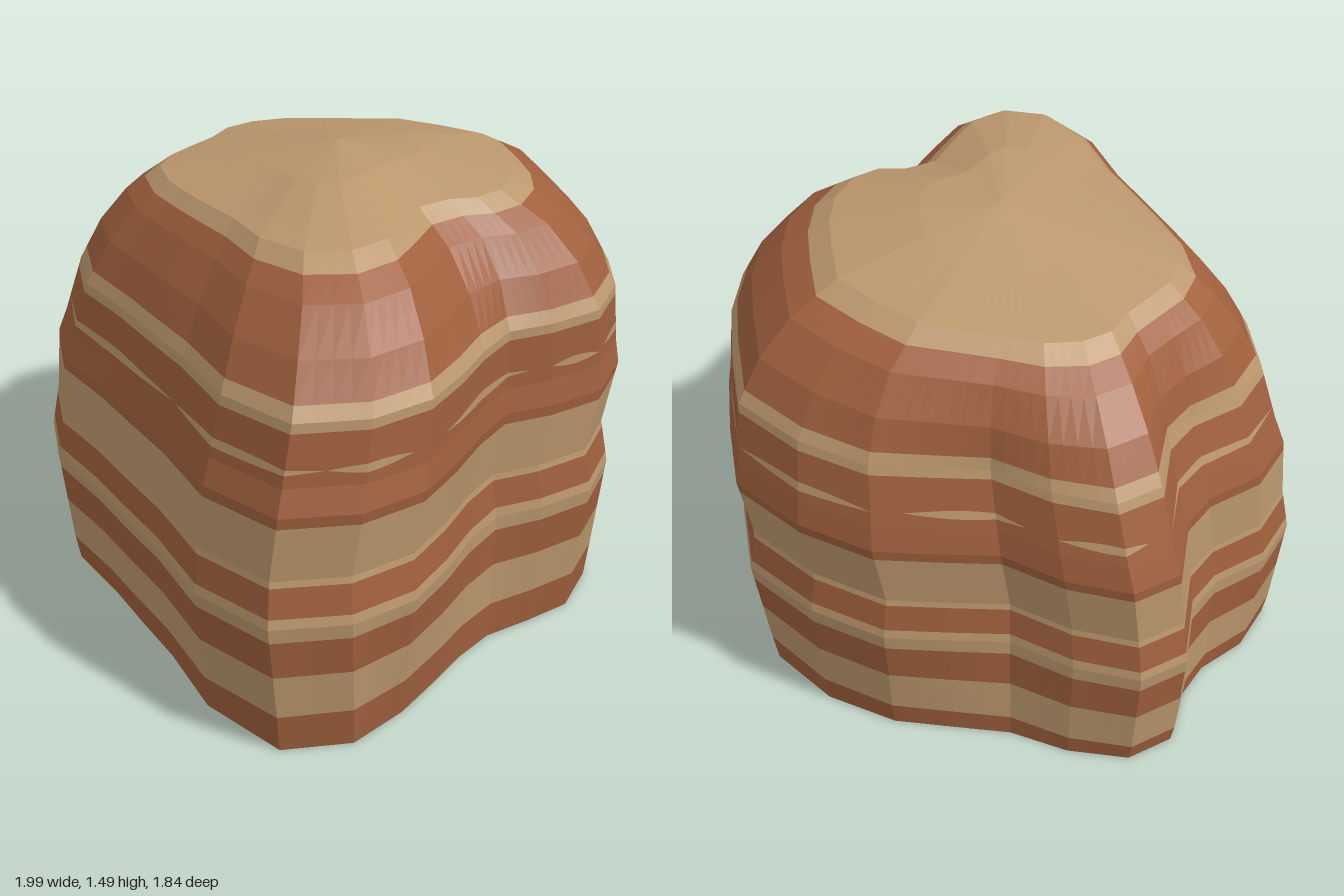
import * as THREE from 'three';

// Plan outlines, clockwise seen from above: [x, z]
const WAIST = [
  [0.04, -0.92], [0.30, -0.82], [0.52, -0.72], [0.70, -0.59], [0.82, -0.41], [0.81, -0.22], [0.77, -0.07],
  [0.83, 0.08], [0.92, 0.24], [1.0, 0.42], [0.995, 0.64], [0.875, 0.85], [0.58, 0.91], [0.28, 0.86],
  [0.04, 0.84], [-0.16, 0.82], [-0.43, 0.81], [-0.65, 0.71], [-0.75, 0.54], [-0.76, 0.34], [-0.82, 0.21],
  [-1.0, 0.06], [-1.0, -0.11], [-0.85, -0.26], [-0.66, -0.37], [-0.56, -0.53], [-0.45, -0.70], [-0.23, -0.84],
];
const reshape = (outline, changes) => outline.map((p, i) => changes[i] || p);

// The gullies are shallower at the foot
const FOOT = reshape(WAIST, {
  0: [0.04, -0.9], 4: [0.81, -0.41], 5: [0.81, -0.24], 6: [0.8, -0.07], 7: [0.84, 0.08], 8: [0.9, 0.23],
  9: [0.97, 0.42], 10: [1.01, 0.64], 11: [0.905, 0.85], 19: [-0.78, 0.35], 20: [-0.85, 0.22],
  21: [-1.005, 0.06], 22: [-1.005, -0.11], 23: [-0.87, -0.27], 24: [-0.7, -0.39], 25: [-0.58, -0.54],
});
// Near the top only the left-hand gully is left
const CAP = reshape(WAIST, {
  5: [0.83, -0.25], 6: [0.76, -0.12], 7: [0.75, 0.06], 8: [0.86, 0.22], 9: [1.0, 0.44],
  10: [1.02, 0.67], 14: [0.04, 0.85], 15: [-0.16, 0.84],
  17: [-0.68, 0.72], 18: [-0.8, 0.57], 19: [-0.86, 0.4], 20: [-0.91, 0.24], 21: [-1.0, 0.08],
  22: [-1.0, -0.09], 23: [-0.92, -0.27], 24: [-0.77, -0.43], 25: [-0.62, -0.59], 26: [-0.48, -0.74],
});
// The gully fades out toward the summit
const SUMMIT = reshape(CAP, { 5: [0.83, -0.24], 6: [0.81, -0.1], 7: [0.82, 0.08], 8: [0.9, 0.24] });
const PLANS = [FOOT, WAIST, CAP, SUMMIT];

// Side profile: [height, outline scale, lean x, lean z, tilt along x, plan (0 foot, 1 waist, 2 cap, 3 summit)]
const PROFILE = [
  [0, 0.938, 0, 0.01, 0, 0],
  [0.1, 0.955, 0, 0.01, 0.037, 0.2],
  [0.42, 0.995, 0, 0.01, 0.037, 1],
  [0.56, 0.968, 0, 0.01, 0.04, 1],
  [0.77, 0.983, 0.01, -0.018, 0.04, 1],
  [0.85, 0.96, 0.015, -0.025, 0.04, 1],
  [1.04, 0.92, 0.045, -0.03, 0.04, 1],
  [1.18, 0.835, 0.045, -0.03, 0.045, 1.4],
  [1.29, 0.73, 0.045, -0.02, 0.05, 1.75],
  [1.38, 0.585, 0.045, 0.01, 0.065, 2],
  [1.44, 0.29, 0.04, 0.03, 0.125, 3],
  [1.485, 0, 0.05, 0.03, 0, 3],
];

const SUB = 4; // steps per outline edge, so the thin vein can taper
const SIDES = WAIST.length;
const COUNT = SIDES * SUB;
const mix = (a, b, t) => a.map((v, j) => v + (b[j] - v) * t);

// Point on the rock surface at outline step i and layer height h
function surfacePoint(i, h) {
  let k = 0;
  while (k < PROFILE.length - 2 && h > PROFILE[k + 1][0]) k++;
  const p = PROFILE[k], q = PROFILE[k + 1];
  const [, s, leanX, leanZ, tilt, plan] = mix(p, q, (h - p[0]) / (q[0] - p[0]));
  const lower = Math.min(PLANS.length - 2, Math.floor(plan));
  const corner = (e) => mix(PLANS[lower][e % SIDES], PLANS[lower + 1][e % SIDES], plan - lower);
  const e = Math.floor(i / SUB);
  const [px, pz] = mix(corner(e), corner(e + 1), (i % SUB) / SUB);
  const x = px * s + leanX;
  return [x, h + tilt * x, pz * s + leanZ];
}

// Closed band through a list of rings; a ring is a height function of the step
function bandGeometry(rings) {
  const pos = [], index = [];
  rings.forEach((ring) => {
    for (let i = 0; i < COUNT; i++) pos.push(...surfacePoint(i, ring(i)));
  });
  for (let r = 0; r < rings.length - 1; r++) {
    for (let i = 0; i < COUNT; i++) {
      const a = r * COUNT + i, b = r * COUNT + (i + 1) % COUNT;
      index.push(b, a, a + COUNT, b, a + COUNT, b + COUNT);
    }
  }
  const g = new THREE.BufferGeometry();
  g.setAttribute('position', new THREE.Float32BufferAttribute(pos, 3));
  g.setIndex(index);
  g.computeVertexNormals();
  return g;
}

// Broken vein: thin lenses, each from one outline corner to another
const VEIN = 0.897;
const LENSES = [
  [0, 2], [2.25, 3.75], [4, 5], [5.5, 8.5], [9.25, 10.5], [10.5, 13], [13, 17], [17, 21],
  [21.5, 23], [23.5, 25.5], [26, 28],
];
function veinHalf(i) {
  const c = i / SUB;
  const lens = LENSES.find(([from, to]) => c >= from && c <= to);
  return lens ? 0.014 * Math.sin(Math.PI * (c - lens[0]) / (lens[1] - lens[0])) : 0;
}

export function createModel() {
  const group = new THREE.Group();
  group.name = 'layeredRock';
  const clay = new THREE.MeshStandardMaterial({ color: 0xa0603d, flatShading: true });
  clay.name = 'terracotta';
  const sand = new THREE.MeshStandardMaterial({ color: 0xbb976d, flatShading: true });
  sand.name = 'sandstone';

  const add = (geometry, material, name) => {
    const mesh = new THREE.Mesh(geometry, material);
    mesh.name = name;
    group.add(mesh);
  };

  // Layer boundaries, bottom to top, each with its mean height and its ring
  const flat = (h) => ({ h, ring: () => h });
  const edges = [
    ...[0, 0.097, 0.245, 0.372, 0.45, 0.54, 0.735].map(flat),
    { h: VEIN, ring: (i) => VEIN - veinHalf(i) },
    { h: VEIN, ring: (i) => VEIN + veinHalf(i) },
    ...[1.01, 1.08, 1.34, 1.485].map(flat),
  ];

  // Alternating layers, ending in the sandstone cap
  for (let n = 0; n < edges.length - 1; n++) {
    const low = edges[n], high = edges[n + 1];
    const bends = PROFILE.map((p) => p[0]).filter((h) => h > low.h && h < high.h).map(flat);
    const rings = [low, ...bends, high].map((edge) => edge.ring);
    const isSand = n % 2 === 1;
    const name = n === edges.length - 2 ? 'sandstoneCap' : (isSand ? 'sandstoneLayer' : 'terracottaLayer') + (n + 1);
    add(bandGeometry(rings), isSand ? sand : clay, name);
  }

  // Flat underside
  const base = new THREE.Shape(Array.from({ length: COUNT }, (_, i) => {
    const [x, , z] = surfacePoint(i, 0);
    return new THREE.Vector2(x, z);
  }));
  add(new THREE.ShapeGeometry(base).rotateX(Math.PI / 2), clay, 'underside');
  return group;
}
